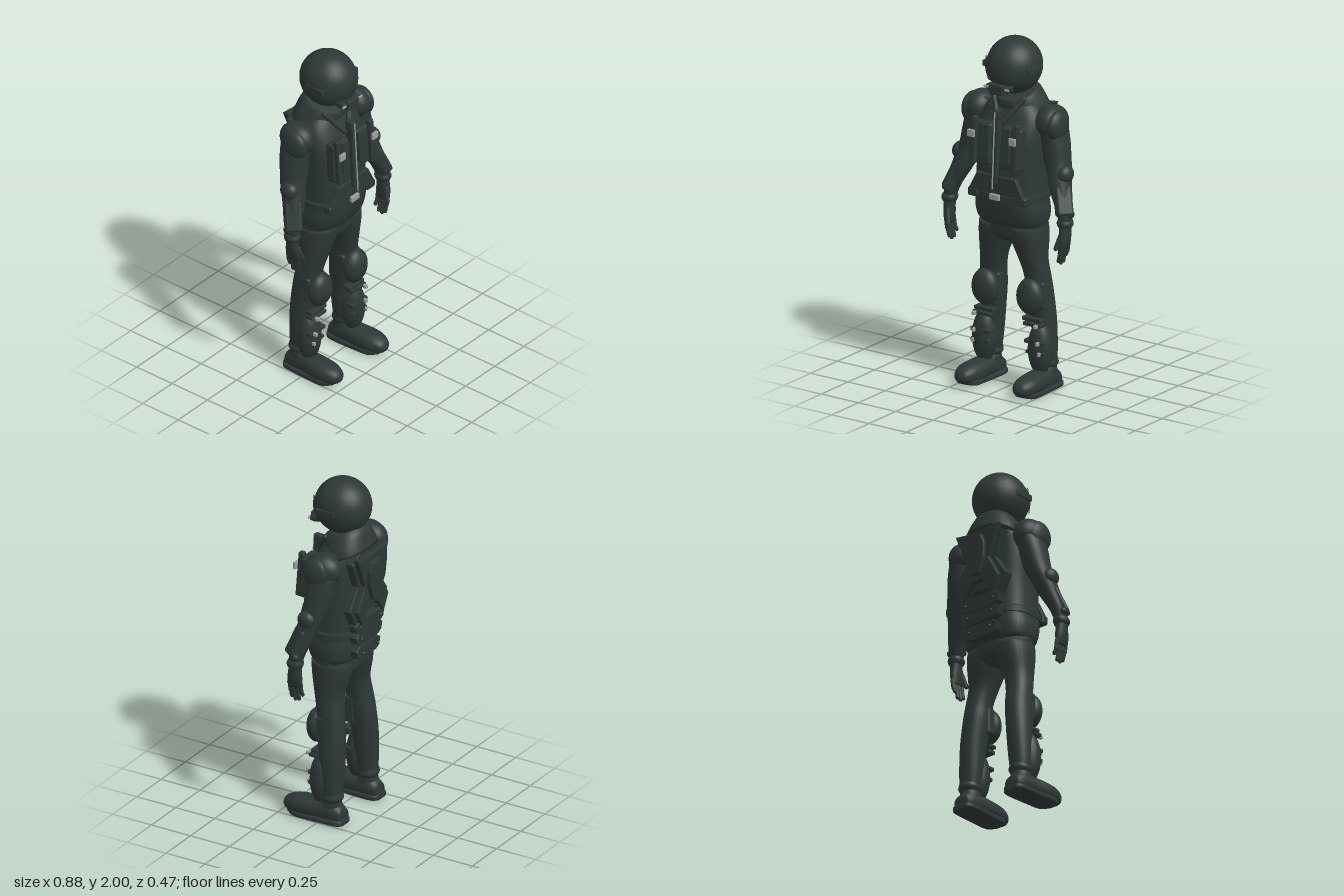
import * as THREE from 'three';
import { RoundedBoxGeometry } from 'three/addons/geometries/RoundedBoxGeometry.js';

const suit = new THREE.MeshStandardMaterial({ color: 0x2d3836 });
suit.name = 'dark suit';
const metal = new THREE.MeshStandardMaterial({ color: 0x9c9e9d });
metal.name = 'silver fittings';

const V = (x, y, z) => new THREE.Vector3(x, y, z);

function mesh(name, geometry, material = suit) {
  const m = new THREE.Mesh(geometry, material);
  m.name = name;
  return m;
}

// Smooth skin through sections [t, a, b, ra, rb]; upright (t = y, ascending) or lengthwise (t = z, descending)
function loft(name, sections, { lengthwise = false, power = 2.2, seg = 28, floor = -1 } = {}) {
  const mid = new THREE.CatmullRomCurve3(sections.map(s => V(s[1], s[0], s[2])), false, 'catmullrom');
  const rad = new THREE.CatmullRomCurve3(sections.map(s => V(s[3], s[4], 0)), false, 'catmullrom');
  const steps = (sections.length - 1) * 4, pos = [], idx = [];
  for (let j = -1; j <= steps + 1; j++) {
    const u = Math.min(Math.max(j / steps, 0), 1);
    const c = mid.getPoint(u), r = rad.getPoint(u);
    const k = j < 0 || j > steps ? 0 : 1;
    for (let i = 0; i < seg; i++) {
      const a = i / seg * Math.PI * 2, cs = Math.cos(a), sn = Math.sin(a);
      const p = c.x + k * r.x * Math.sign(cs) * Math.abs(cs) ** (2 / power);
      const q = c.z + k * r.y * Math.sign(sn) * Math.abs(sn) ** (2 / power);
      if (lengthwise) pos.push(p, Math.max(q, floor), c.y);
      else pos.push(p, c.y, q);
    }
  }
  for (let j = 0; j < steps + 2; j++) for (let i = 0; i < seg; i++) {
    const a = j * seg + i, b = j * seg + (i + 1) % seg;
    idx.push(a, a + seg, b, b, a + seg, b + seg);
  }
  const g = new THREE.BufferGeometry();
  g.setAttribute('position', new THREE.Float32BufferAttribute(pos, 3));
  g.setIndex(idx);
  g.computeVertexNormals();
  return mesh(name, g);
}

function ball(name, x, y, z, rx, ry, rz) {
  return mesh(name, new THREE.SphereGeometry(1, 32, 20).scale(rx, ry, rz).translate(x, y, z));
}

function box(name, x, y, z, w, h, d, material = suit, tilt = 0) {
  const g = new RoundedBoxGeometry(w, h, d, 2, Math.min(w, h, d) * 0.25);
  return mesh(name, g.rotateX(tilt).translate(x, y, z), material);
}

function rod(name, a, b, r, material = suit) {
  const g = new THREE.CapsuleGeometry(r, a.distanceTo(b), 4, 10);
  g.applyQuaternion(new THREE.Quaternion().setFromUnitVectors(V(0, 1, 0), b.clone().sub(a).normalize()));
  return mesh(name, g.translate((a.x + b.x) / 2, (a.y + b.y) / 2, (a.z + b.z) / 2), material);
}

// Bevelled plate symmetric in x; half outline from top to bottom, back face at z
function plate(name, half, z, depth) {
  const pts = [...half, ...half.slice().reverse().map(([x, y]) => [-x, y])];
  const shape = new THREE.Shape(pts.map(([x, y]) => new THREE.Vector2(x, y)));
  const bevel = 0.006;
  const g = new THREE.ExtrudeGeometry(shape, { depth: depth - 2 * bevel, bevelThickness: bevel, bevelSize: bevel, bevelSegments: 2 });
  return mesh(name, g.translate(0, 0, z + bevel));
}

// Mirrored copy with corner order restored
function mirror(m) {
  const g = m.geometry.clone().scale(-1, 1, 1);
  const n = g.attributes.position.count;
  const order = g.index ? Array.from(g.index.array) : Array.from({ length: n }, (_, i) => i);
  g.setIndex(order.reverse());
  g.clearGroups();
  return mesh(m.name.replace('left', 'right'), g, m.material);
}

function buildHead() {
  const shell = (name, k, from, size, p0 = 0.3, p1 = Math.PI - 0.6) => {
    const m = mesh(name, new THREE.SphereGeometry(1, 36, 10, p0, p1, from, size)
      .scale(0.153 * k, 0.16 * k, 0.162 * k).translate(0, 1.84, -0.015));
    return m;
  };
  const visor = shell('visor', 1.035, 1.27, 0.66);
  const rims = [shell('visorTopRim', 1.06, 1.22, 0.07), shell('visorBottomRim', 1.06, 1.9, 0.07)];
  return [
    ball('helmet', 0, 1.84, -0.015, 0.153, 0.16, 0.162), visor, ...rims,
    box('chinGuard', 0, 1.745, 0.125, 0.15, 0.03, 0.06),
    box('chinPiece', 0, 1.74, 0.152, 0.09, 0.06, 0.03),
  ];
}

function buildTorso() {
  const collar = loft('hoodCollar', [
    [-0.07, 0, 0.0, 0.175, 0.125], [-0.02, 0, 0, 0.16, 0.127], [0.03, 0, 0, 0.135, 0.125], [0.06, 0, 0, 0.115, 0.11],
  ]);
  collar.geometry.rotateX(0.38).translate(0, 1.645, -0.05);
  const back = [
    plate('backFrame', [[0.09, 1.61], [0.155, 1.57], [0.1, 1.42], [0.185, 1.3], [0.13, 1.2], [0.05, 1.25]], -0.18, 0.05),
    plate('backWings', [[0.08, 1.59], [0.15, 1.6], [0.075, 1.42], [0.15, 1.29], [0.11, 1.21], [0.04, 1.3]], -0.21, 0.035),
    plate('spinePlate', [[0.045, 1.55], [0.065, 1.5], [0.06, 1.42], [0.03, 1.335]], -0.235, 0.035),
  ];
  [1.175, 1.1, 1.01].forEach((y, i) => {
    const w = 0.14 - i * 0.012;
    back.push(plate('lumbarPlate' + (i + 1), [[w - 0.03, y + 0.035], [w, y + 0.015], [w - 0.01, y - 0.02], [w - 0.04, y - 0.035]], -0.19 + i * 0.005, 0.05));
    for (const s of [-1, 1]) back.push(ball('lumbarStud', s * (w - 0.04), y, -0.19, 0.01, 0.01, 0.01));
  });
  return [
    loft('jacket', [
      [0.955, 0, -0.005, 0.195, 0.125], [0.98, 0, -0.005, 0.207, 0.138], [1.04, 0, 0, 0.212, 0.148],
      [1.12, 0, 0.005, 0.2, 0.15], [1.3, 0, 0.005, 0.195, 0.15], [1.45, 0, -0.005, 0.2, 0.143],
      [1.56, 0, -0.025, 0.19, 0.12], [1.63, 0, -0.04, 0.145, 0.1], [1.67, 0, -0.05, 0.08, 0.08],
    ], { power: 2.7, seg: 40 }),
    collar,
    loft('belt', [[1.1, 0, 0.003, 0.208, 0.158], [1.14, 0, 0.003, 0.208, 0.158]], { power: 2.8, seg: 40 }),
    plate('waistPanel', [[0.125, 1.24], [0.175, 1.145]], 0.13, 0.035),
    box('beltBuckle', 0, 1.125, 0.172, 0.065, 0.035, 0.02, metal),
    box('zipPlacket', 0, 1.41, 0.15, 0.035, 0.42, 0.05, suit, -0.05),
    rod('zip', V(0, 1.61, 0.172), V(0, 1.18, 0.196), 0.004, metal),
    loft('pelvis', [[0.84, 0, -0.01, 0.06, 0.07], [0.88, 0, -0.01, 0.16, 0.115], [0.94, 0, -0.01, 0.2, 0.122], [0.99, 0, 0, 0.195, 0.125]], { seg: 36 }),
    ...back,
  ];
}

// Parts on the left side, mirrored for the right
function buildSide() {
  const parts = [];
  // Helmet and chest fittings
  parts.push(
    box('leftEarMount', 0.147, 1.84, 0.01, 0.02, 0.035, 0.12),
    box('leftChinLight', 0.068, 1.748, 0.156, 0.03, 0.012, 0.01, metal),
    box('leftChestPocket', 0.1, 1.415, 0.135, 0.13, 0.24, 0.06, suit, -0.06),
    box('leftChestPouch', 0.07, 1.43, 0.16, 0.06, 0.2, 0.03, suit, -0.08),
    box('leftChestStrap', 0.14, 1.43, 0.17, 0.035, 0.27, 0.035, suit, -0.08),
    box('leftStrapBuckle', 0.138, 1.475, 0.2, 0.046, 0.042, 0.016, metal),
    rod('leftLapel', V(0.02, 1.55, 0.12), V(0.1, 1.67, 0.04), 0.016),
    box('leftHipPouch', 0.16, 1.12, 0.135, 0.07, 0.05, 0.05),
  );
  // Arm
  parts.push(
    loft('leftSleeve', [
      [1.03, 0.385, 0.05, 0.033, 0.038], [1.1, 0.37, 0.04, 0.045, 0.05], [1.2, 0.33, 0.015, 0.06, 0.062],
      [1.28, 0.305, -0.01, 0.066, 0.07], [1.35, 0.28, -0.025, 0.073, 0.077], [1.45, 0.262, -0.035, 0.073, 0.085],
      [1.55, 0.235, -0.04, 0.07, 0.085], [1.62, 0.2, -0.04, 0.04, 0.05],
    ]),
    ball('leftShoulderPad', 0.236, 1.553, -0.037, 0.083, 0.093, 0.107),
    ball('leftShoulderCap', 0.285, 1.54, -0.02, 0.047, 0.088, 0.085),
    ball('leftElbowPad', 0.35, 1.28, 0.0, 0.045, 0.052, 0.055),
  );
  const up = V(-0.06, 0.17, -0.055).normalize(), side = V(0.55, 0, -0.82).cross(up).normalize();
  const across = V(0, 0, 0).crossVectors(up, side).normalize();
  if (side.x < 0) { side.negate(); across.negate(); }
  const guard = box('leftForearmGuard', 0, 0, 0, 0.095, 0.165, 0.06);
  guard.geometry.applyMatrix4(new THREE.Matrix4().makeBasis(across, up, side).setPosition(0.372, 1.14, 0.048));
  parts.push(guard,
    ball('leftWristKnob', 0.417, 1.07, 0.04, 0.018, 0.02, 0.025),
    loft('leftCuff', [[1.0, 0.388, 0.052, 0.038, 0.042], [1.02, 0.387, 0.052, 0.044, 0.048], [1.04, 0.386, 0.05, 0.038, 0.042]]),
    loft('leftPalm', [[0.875, 0.383, 0.055, 0.016, 0.04], [0.92, 0.387, 0.055, 0.024, 0.045], [0.97, 0.388, 0.053, 0.028, 0.04], [1.02, 0.387, 0.05, 0.03, 0.034]]),
    rod('leftThumb', V(0.378, 0.95, 0.085), V(0.362, 0.88, 0.105), 0.013),
  );
  [0.02, 0.043, 0.066, 0.088].forEach((z, i) => {
    const tip = [0.825, 0.795, 0.79, 0.805][i];
    parts.push(rod('leftFinger' + (i + 1), V(0.385, 0.9, z), V(0.378, 0.85, z), 0.0125),
      rod('leftFingertip' + (i + 1), V(0.378, 0.85, z), V(0.366, tip, z - 0.003), 0.011));
  });
  // Leg
  parts.push(
    loft('leftTrouserLeg', [
      [0.08, 0.185, -0.06, 0.045, 0.05], [0.15, 0.185, -0.06, 0.055, 0.052], [0.25, 0.18, -0.055, 0.064, 0.064],
      [0.4, 0.17, -0.05, 0.068, 0.074], [0.55, 0.155, -0.035, 0.071, 0.082], [0.65, 0.148, -0.025, 0.07, 0.076],
      [0.75, 0.13, -0.01, 0.077, 0.084], [0.87, 0.105, -0.01, 0.101, 0.112], [0.94, 0.1, -0.01, 0.1, 0.117],
    ]),
    loft('leftTrouserHem', [[0.13, 0.185, -0.062, 0.052, 0.052], [0.15, 0.185, -0.062, 0.062, 0.06], [0.175, 0.185, -0.062, 0.056, 0.056]]),
    ball('leftKneePad', 0.15, 0.548, 0.05, 0.083, 0.103, 0.06),
    box('leftKneeRim', 0.15, 0.55, 0.0, 0.145, 0.16, 0.06),
    ball('leftShinGuard', 0.187, 0.245, 0.005, 0.071, 0.152, 0.066),
  );
  [[0.415, 0.16, 0.13, 0.03], [0.39, 0.17, 0.12, 0.04], [0.29, 0.18, 0.13, 0.038], [0.23, 0.185, 0.12, 0.035]].forEach(([y, x, w, z], i) => {
    parts.push(box('leftShinStrap' + (i + 1), x, y, z, w, 0.022, 0.05));
    if (i) parts.push(box('leftShinBuckle' + i, 0.2 + i * 0.007, y, 0.085 - i * 0.007, 0.024 - i * 0.003, 0.022, 0.025, metal));
  });
  // Boot
  parts.push(
    loft('leftBoot', [
      [0.236, 0.195, 0.055, 0.015, 0.012], [0.215, 0.195, 0.06, 0.045, 0.036], [0.16, 0.195, 0.064, 0.067, 0.054],
      [0.08, 0.192, 0.066, 0.071, 0.06], [0, 0.188, 0.068, 0.063, 0.062], [-0.08, 0.186, 0.06, 0.058, 0.07], [-0.135, 0.186, 0.045, 0.046, 0.045],
    ], { lengthwise: true, floor: 0.005 }),
    loft('leftSole', [
      [0.2, 0.195, 0.03, 0.04, 0.015], [0.15, 0.195, 0.021, 0.066, 0.02], [0.06, 0.192, 0.018, 0.07, 0.018],
      [-0.06, 0.187, 0.018, 0.07, 0.018], [-0.12, 0.187, 0.018, 0.064, 0.018], [-0.145, 0.187, 0.018, 0.045, 0.016],
    ], { lengthwise: true, power: 4, floor: 0 }),
    loft('leftBootCuff', [[0.09, 0.186, -0.05, 0.055, 0.07], [0.12, 0.186, -0.055, 0.054, 0.058], [0.145, 0.186, -0.06, 0.048, 0.05]]),
  );
  return parts;
}

export function createModel() {
  const model = new THREE.Group();
  model.name = 'armouredFigure';
  const add = (name, parts) => {
    const g = new THREE.Group();
    g.name = name;
    g.add(...parts);
    model.add(g);
  };
  const left = buildSide();
  add('head', buildHead());
  add('torso', buildTorso());
  add('leftSide', left);
  add('rightSide', left.map(mirror));
  return model;
}
